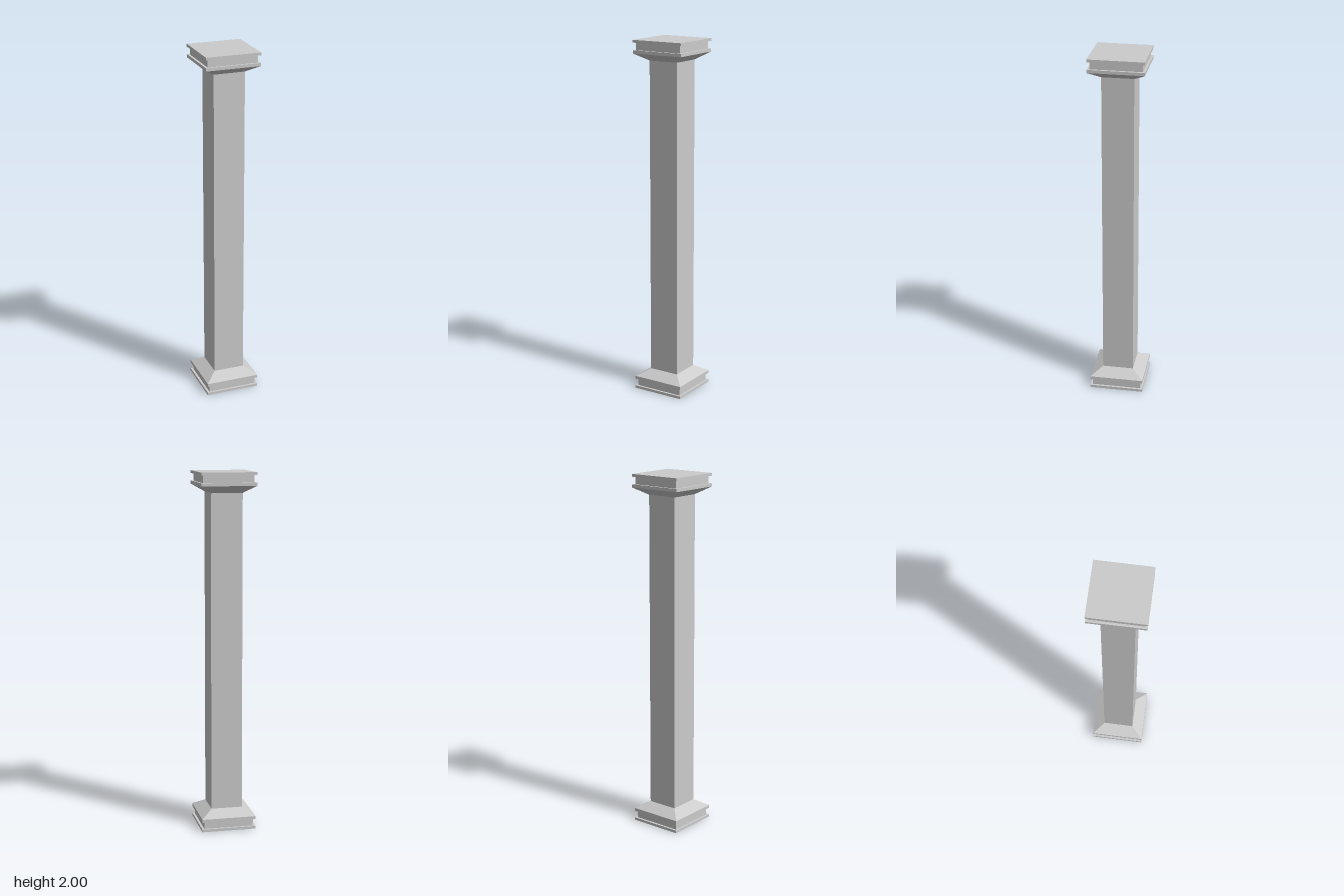
import * as THREE from 'three';

const material = new THREE.MeshStandardMaterial({ color: 0xcccccc, flatShading: true });

// Sweep a [half width, height] profile, listed bottom to top, around a square plan
function squareTurned(name, profile) {
  const points = profile.map(([half, y]) => new THREE.Vector2(half * Math.SQRT2, y));
  const lathe = new THREE.LatheGeometry(points, 4, Math.PI / 4);
  const geometry = lathe.toNonIndexed();
  geometry.computeVertexNormals();
  const mesh = new THREE.Mesh(geometry, material);
  mesh.name = name;
  return mesh;
}

export function createModel() {
  const column = new THREE.Group();
  column.name = 'squareColumn';
  const height = 2;
  const shaftHalf = 0.088;

  // Plinth: lower lip, recessed band, upper lip, then a slope up to the shaft
  const plinth = [
    [0, 0], [0.153, 0], [0.153, 0.015],
    [0.14, 0.015], [0.14, 0.056],
    [0.153, 0.056], [0.153, 0.073],
    [shaftHalf, 0.113],
  ];
  column.add(squareTurned('base', plinth));

  // Plain square shaft
  column.add(squareTurned('shaft', [[shaftHalf, 0.113], [shaftHalf, height - 0.113]]));

  // Capital mirrors the plinth
  const capital = plinth.map(([half, y]) => [half, height - y]).reverse();
  column.add(squareTurned('capital', capital));

  return column;
}
